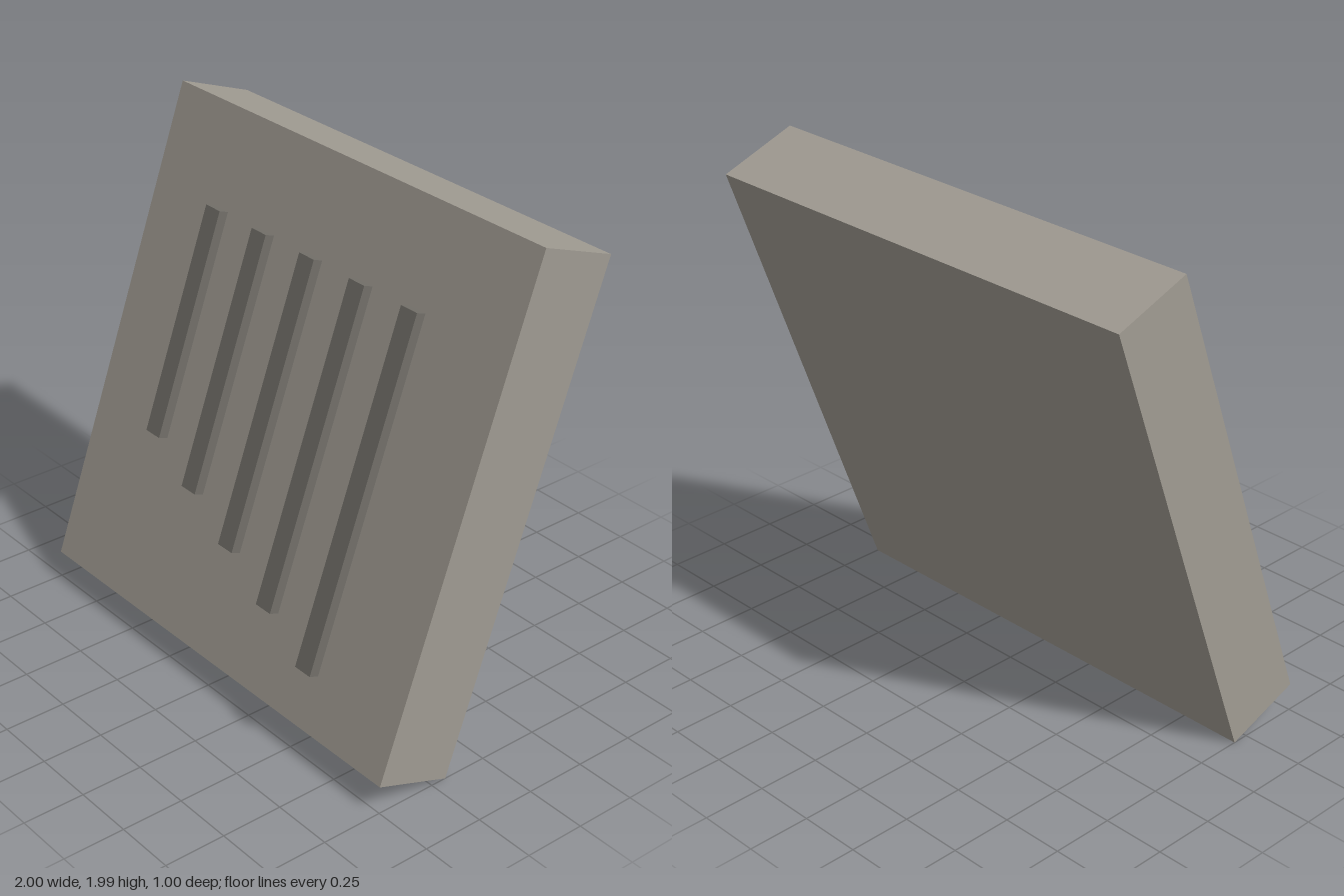
import * as THREE from 'three';

export function createModel() {
  const model = new THREE.Group();
  model.name = 'slantedPanel';

  // Everything is laid out upright, then leaned back by 20 degrees
  const lean = new THREE.Group();
  lean.name = 'leaningAssembly';
  lean.rotation.x = -THREE.MathUtils.degToRad(20);
  lean.position.y = 0.9966;
  model.add(lean);

  const panelMaterial = new THREE.MeshStandardMaterial({ color: 0xa09b92 });
  const barMaterial = new THREE.MeshStandardMaterial({ color: 0x726f69 });

  function addBox(name, size, position, material) {
    const mesh = new THREE.Mesh(new THREE.BoxGeometry(...size), material);
    mesh.name = name;
    mesh.position.set(...position);
    lean.add(mesh);
  }

  // Thick square slab
  addBox('panel', [2, 2, 1 / 3], [0, 0, 0], panelMaterial);

  // Five bars hovering before the slab, level at the top, longer toward +x
  const barTop = 0.622;
  for (let i = 0; i < 5; i++) {
    const length = 0.919 + i * 0.117;
    addBox(`bar${i + 1}`, [0.083, length, 0.0415],
      [(i - 2) * 0.278, barTop - length / 2, 0.22], barMaterial);
  }

  return model;
}
